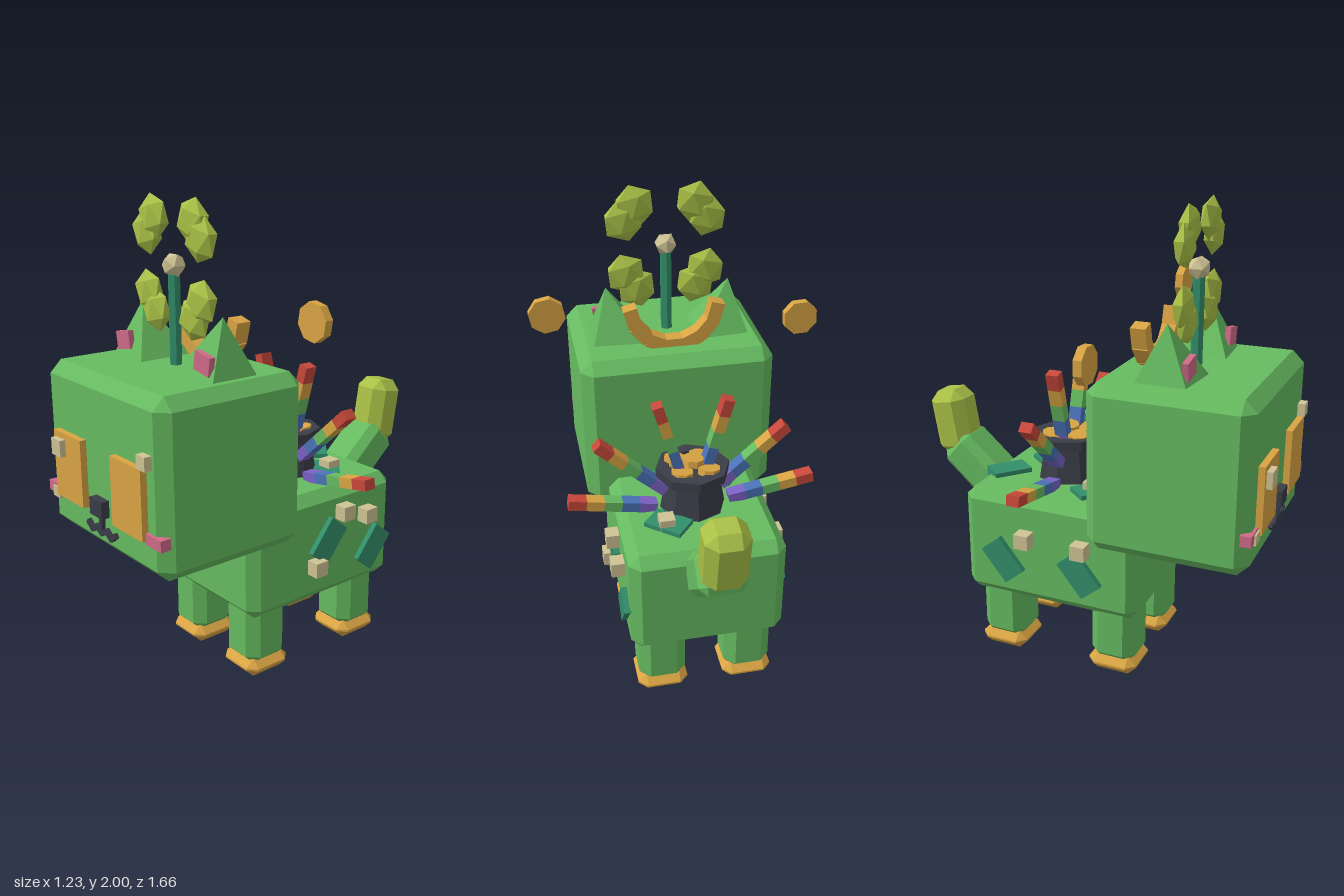
import * as THREE from 'three';
import { ConvexGeometry } from 'three/addons/geometries/ConvexGeometry.js';

const mat = (name, color) => {
  const m = new THREE.MeshStandardMaterial({ color });
  m.name = name;
  return m;
};

// Facet a geometry so every face is flat
function flat(geo) {
  const g = geo.index ? geo.toNonIndexed() : geo;
  g.computeVertexNormals();
  return g;
}

// Box with every edge and corner cut at 45 degrees
function chamferBox(w, h, d, c) {
  const pts = [];
  for (const x of [-1, 1]) for (const y of [-1, 1]) for (const z of [-1, 1]) {
    const [X, Y, Z] = [w / 2, h / 2, d / 2];
    pts.push(
      new THREE.Vector3(x * X, y * (Y - c), z * (Z - c)),
      new THREE.Vector3(x * (X - c), y * Y, z * (Z - c)),
      new THREE.Vector3(x * (X - c), y * (Y - c), z * Z));
  }
  return new ConvexGeometry(pts);
}

export function createModel() {
  const green = mat('leaf green', 0x66bb60);
  const teal = mat('teal green', 0x328f6b);
  const gold = mat('gold', 0xd9a443);
  const dark = mat('charcoal', 0x3a3d47);
  const pink = mat('pink', 0xcf6a88);
  const lime = mat('lime', 0xa9c046);
  const cream = mat('cream', 0xcfc394);
  const red = mat('red', 0xc8483a);
  const blue = mat('blue', 0x4a72b8);
  const purple = mat('purple', 0x7a62c4);

  const root = new THREE.Group();
  const add = (name, geo, material, pos, rot = [0, 0, 0], parent = root) => {
    const m = new THREE.Mesh(geo, material);
    m.name = name;
    m.position.set(...pos);
    m.rotation.set(...rot);
    parent.add(m);
    return m;
  };
  const box = (name, size, material, pos, rot, parent) =>
    add(name, new THREE.BoxGeometry(...size), material, pos, rot, parent);

  // Head and body
  add('head', chamferBox(0.84, 0.71, 0.68, 0.05), green, [0, 0.995, 0.44]);
  add('body', chamferBox(0.66, 0.49, 0.81, 0.045), green, [0, 0.535, -0.105]);

  // Legs and feet
  const legGeo = chamferBox(0.205, 0.34, 0.205, 0.045);
  const footGeo = chamferBox(0.22, 0.085, 0.22, 0.038);
  for (const x of [-0.19, 0.19]) for (const z of [0.17, -0.36]) {
    add('leg', legGeo, green, [x, 0.22, z]);
    add('foot', footGeo, gold, [x, 0.0425, z]);
  }

  // Tail
  add('tailBase', chamferBox(0.2, 0.3, 0.185, 0.035), green, [0, 0.765, -0.6], [-0.85, 0, 0]);
  add('tailTip', chamferBox(0.18, 0.3, 0.175, 0.045), lime, [0, 0.955, -0.725], [-0.165, 0, 0]);

  // Ears, eyes, cheeks
  const earGeo = flat(new THREE.ConeGeometry(0.188, 0.27, 4).rotateY(Math.PI / 4));
  for (const s of [-1, 1]) {
    add('ear', earGeo, green, [s * 0.25, 1.44, 0.39], [0, 0, -s * 0.15]);
    box('innerEar', [0.095, 0.075, 0.025], pink, [s * 0.272, 1.412, 0.482], [0, 0, -s * 0.17]);
    box('eye', [0.21, 0.28, 0.045], gold, [s * 0.215, 0.94, 0.785]);
    box('cheek', [0.1, 0.045, 0.045], pink, [s * 0.367, 0.81, 0.77]);
  }
  box('eyeGlint', [0.07, 0.07, 0.04], cream, [-0.265, 1.02, 0.812]);
  box('faceFleck', [0.055, 0.055, 0.04], cream, [0.33, 1.11, 0.792]);
  box('faceFleck', [0.055, 0.045, 0.04], cream, [-0.345, 0.8, 0.78]);

  // Nose and curled mouth
  box('nose', [0.09, 0.07, 0.06], dark, [0, 0.837, 0.785]);
  box('mouthStem', [0.02, 0.08, 0.025], dark, [0, 0.765, 0.785]);
  const mouth = [[0, 0.725], [0.035, 0.745], [0.07, 0.723], [0.1, 0.745]];
  for (const s of [-1, 1]) for (let i = 0; i < 3; i++) {
    const [ax, ay] = mouth[i], [bx, by] = mouth[i + 1];
    box('mouthCurl', [Math.hypot(bx - ax, by - ay) + 0.012, 0.022, 0.025], dark,
      [s * (ax + bx) / 2, (ay + by) / 2, 0.785], [0, 0, s * Math.atan2(by - ay, bx - ax)]);
  }

  // Stalk with a bead on the head
  add('stalk', flat(new THREE.CylinderGeometry(0.026, 0.026, 0.4, 6)), teal, [0, 1.53, 0.42]);
  add('stalkBead', new THREE.IcosahedronGeometry(0.05, 0), cream, [0, 1.74, 0.42]);

  // Four pairs of flattened leaf lobes
  const lobeGeo = flat(new THREE.IcosahedronGeometry(0.092, 0).scale(1, 1, 0.42));
  const lobes = [[0.13, 1.915], [0.18, 1.853], [0.175, 1.617], [0.13, 1.55]];
  for (const s of [-1, 1]) for (const [x, y] of lobes)
    add('leafLobe', lobeGeo, lime, [s * x, y, 0.42], [0, 0, s * 0.3]);

  // Horseshoe arc at the back of the head
  for (let i = 0; i < 7; i++) {
    const a = Math.PI * (195 + i * 25) / 180;
    box('horseshoe', [0.06, 0.09, 0.065], gold,
      [0.185 * Math.cos(a), 1.54 + 0.185 * Math.sin(a), 0.25], [0, 0, a]);
  }

  // Floating coins
  const coin = (r, h) => flat(new THREE.CylinderGeometry(r, r, h, 8));
  add('floatingCoin', coin(0.077, 0.035), gold, [-0.54, 1.46, 0.175], [Math.PI / 2, 0.35, 0]);
  add('floatingCoin', coin(0.077, 0.035), gold, [0.54, 1.57, 0.175], [Math.PI / 2, 0.2, 0]);

  // Pot with coins on the back
  const potProfile = [[0, 0.77], [0.143, 0.77], [0.114, 0.94], [0.158, 0.94],
    [0.158, 0.98], [0.105, 0.98], [0.105, 0.94], [0, 0.94]].map(p => new THREE.Vector2(...p));
  add('pot', flat(new THREE.LatheGeometry(potProfile, 8)), dark, [0, 0, -0.15]);
  const potCoins = [[0, 1.0, -0.155], [-0.06, 0.975, -0.2], [-0.043, 0.975, -0.09],
    [0.066, 0.975, -0.095], [0.055, 0.97, -0.2]];
  for (const p of potCoins) add('potCoin', coin(0.048, 0.03), gold, p, [0.1, 0.2, 0.1]);

  // Fan of striped rays from the pot
  const stripes = [purple, blue, green, gold, red];
  for (let i = 0; i < 6; i++) {
    const ray = new THREE.Group();
    ray.name = 'rainbowRay';
    ray.position.set(0, 0.765, -0.15);
    ray.rotation.z = Math.PI * (10 + 32 * i) / 180;
    stripes.forEach((m, k) =>
      box('rayStripe', [0.076, 0.045, 0.057], m, [0.198 + k * 0.076, 0, 0], [0, 0, 0], ray));
    root.add(ray);
  }

  // Teal patches on the back and flanks
  for (const [x, z] of [[-0.085, -0.41], [0.13, -0.285], [-0.155, 0.035], [0.14, 0.12]])
    box('backPatch', [0.17, 0.04, 0.115], teal, [x, 0.78, z], [0, -0.7, 0]);
  for (const [x, y, z] of [[0.335, 0.56, -0.105], [0.335, 0.46, -0.375],
    [-0.335, 0.48, -0.31], [-0.335, 0.48, 0.05]])
    box('flankPatch', [0.04, 0.18, 0.11], teal, [x, y, z], [-0.68, 0, 0]);

  // Cream cubes on the back and flanks
  for (const p of [[0.14, 0.8, -0.295], [-0.155, 0.8, 0.03], [0.354, 0.675, -0.19],
    [0.354, 0.63, -0.325], [0.354, 0.46, -0.035], [-0.358, 0.6, -0.2], [-0.358, 0.6, 0.06]])
    box('creamCube', [0.065, 0.065, 0.065], cream, p);

  return root;
}
